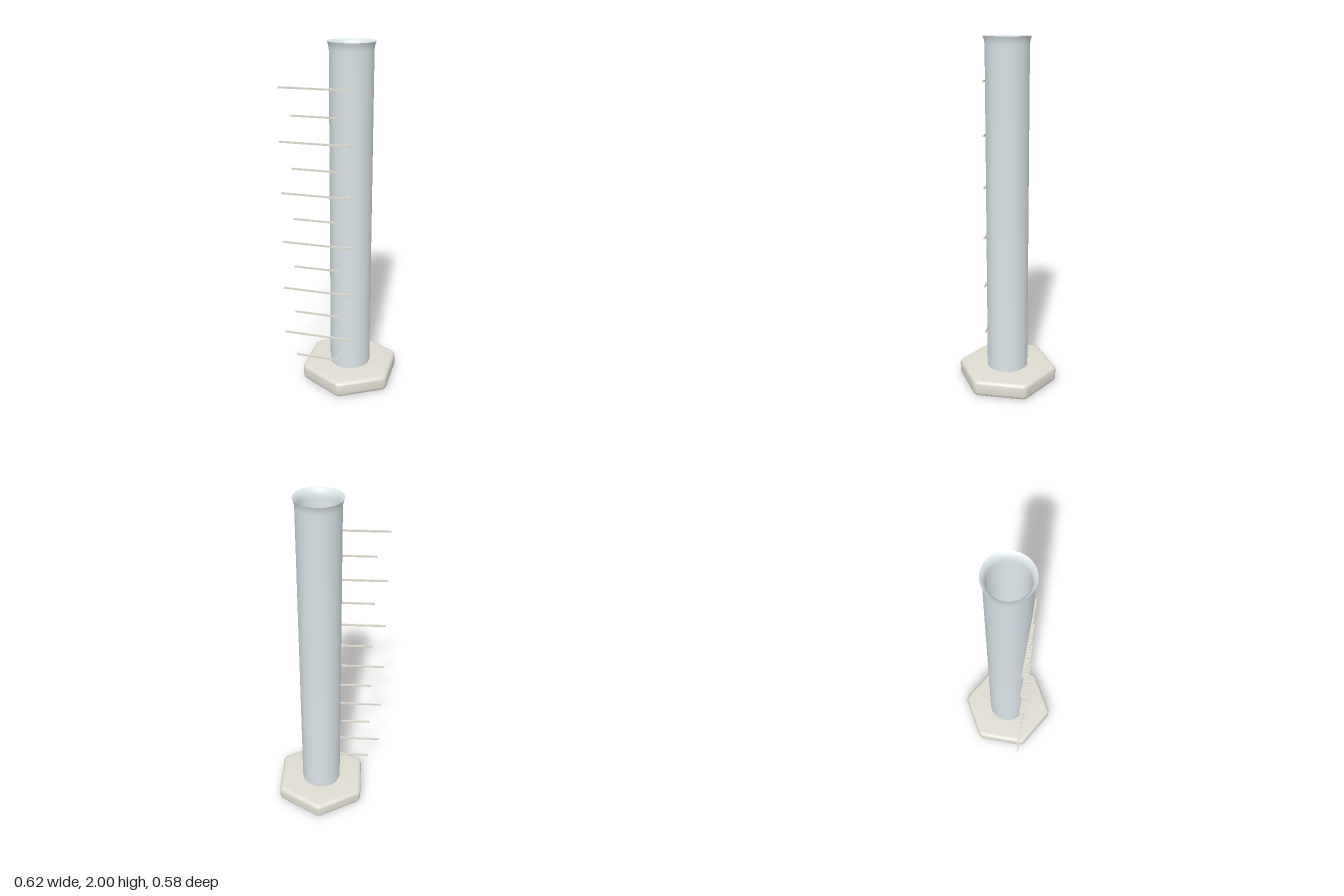
import * as THREE from 'three';
import { toCreasedNormals } from 'three/addons/utils/BufferGeometryUtils.js';

const AXIS_X = 0.026; // the cylinder stands slightly off centre
const BASE_HEIGHT = 0.095;

const glass = new THREE.MeshStandardMaterial({ color: 0xdbe4e8 });
const ivory = new THREE.MeshStandardMaterial({ color: 0xdedbd0 });

function addMesh(parent, name, geometry, material) {
  const mesh = new THREE.Mesh(geometry, material);
  mesh.name = name;
  parent.add(mesh);
  return mesh;
}

// Hexagon with rounded corners and two corners on the z axis
function roundedHexagon(apothem, radius) {
  const points = [];
  const reach = (apothem - radius) / Math.cos(Math.PI / 6);
  const steps = 6;
  for (let i = 0; i < 6; i++) {
    const corner = Math.PI / 2 + (i * Math.PI) / 3;
    for (let j = 0; j <= steps; j++) {
      const a = corner + (j / steps - 0.5) * (Math.PI / 3);
      points.push(new THREE.Vector2(
        reach * Math.cos(corner) + radius * Math.cos(a),
        reach * Math.sin(corner) + radius * Math.sin(a)
      ));
    }
  }
  return new THREE.Shape(points);
}

// Hexagonal foot with softened edges
function footGeometry() {
  const bevel = 0.025;
  const geometry = new THREE.ExtrudeGeometry(roundedHexagon(0.257 - bevel, 0.019), {
    depth: BASE_HEIGHT - 2 * bevel,
    bevelThickness: bevel,
    bevelSize: bevel,
    bevelSegments: 6,
  });
  geometry.translate(0, 0, bevel).rotateX(-Math.PI / 2);
  return toCreasedNormals(geometry, 0.6);
}

// Hollow tube: rounded inner floor, straight bore, flared lip, outer wall
function tubeGeometry() {
  const bore = 0.104;
  const floor = BASE_HEIGHT + 0.012;
  const profile = [[0.119, BASE_HEIGHT - 0.01], [0.119, 1.955], [0.121, 1.972], [0.125, 1.988], [0.13, 2],
    [0.122, 1.995], [0.113, 1.984], [0.107, 1.97], [bore, 1.95]];
  for (let i = 0; i <= 12; i++) {
    const a = (i / 12) * (Math.PI / 2);
    profile.push([Math.max(0, bore * Math.cos(a)), floor + bore * (1 - Math.sin(a))]);
  }
  const points = profile.map(([r, y]) => new THREE.Vector2(r, y));
  return toCreasedNormals(new THREE.LatheGeometry(points, 64), 0.6);
}

export function createModel() {
  const model = new THREE.Group();
  model.name = 'measuringCylinder';

  addMesh(model, 'foot', footGeometry(), ivory).position.x = AXIS_X;
  addMesh(model, 'tube', tubeGeometry(), glass).position.x = AXIS_X;

  // Graduation marks, alternating short and long
  const scale = new THREE.Group();
  scale.name = 'graduations';
  model.add(scale);
  for (let i = 0; i < 12; i++) {
    const long = i % 2 === 1;
    const [left, right] = long ? [-0.342, 0.056] : [-0.275, -0.012];
    const bar = new THREE.BoxGeometry(right - left, 0.01, 0.008);
    const mark = addMesh(scale, long ? 'longMark' : 'shortMark', bar, ivory);
    mark.position.set((left + right) / 2, 0.15 + i * 0.1468, 0.128);
  }

  return model;
}
